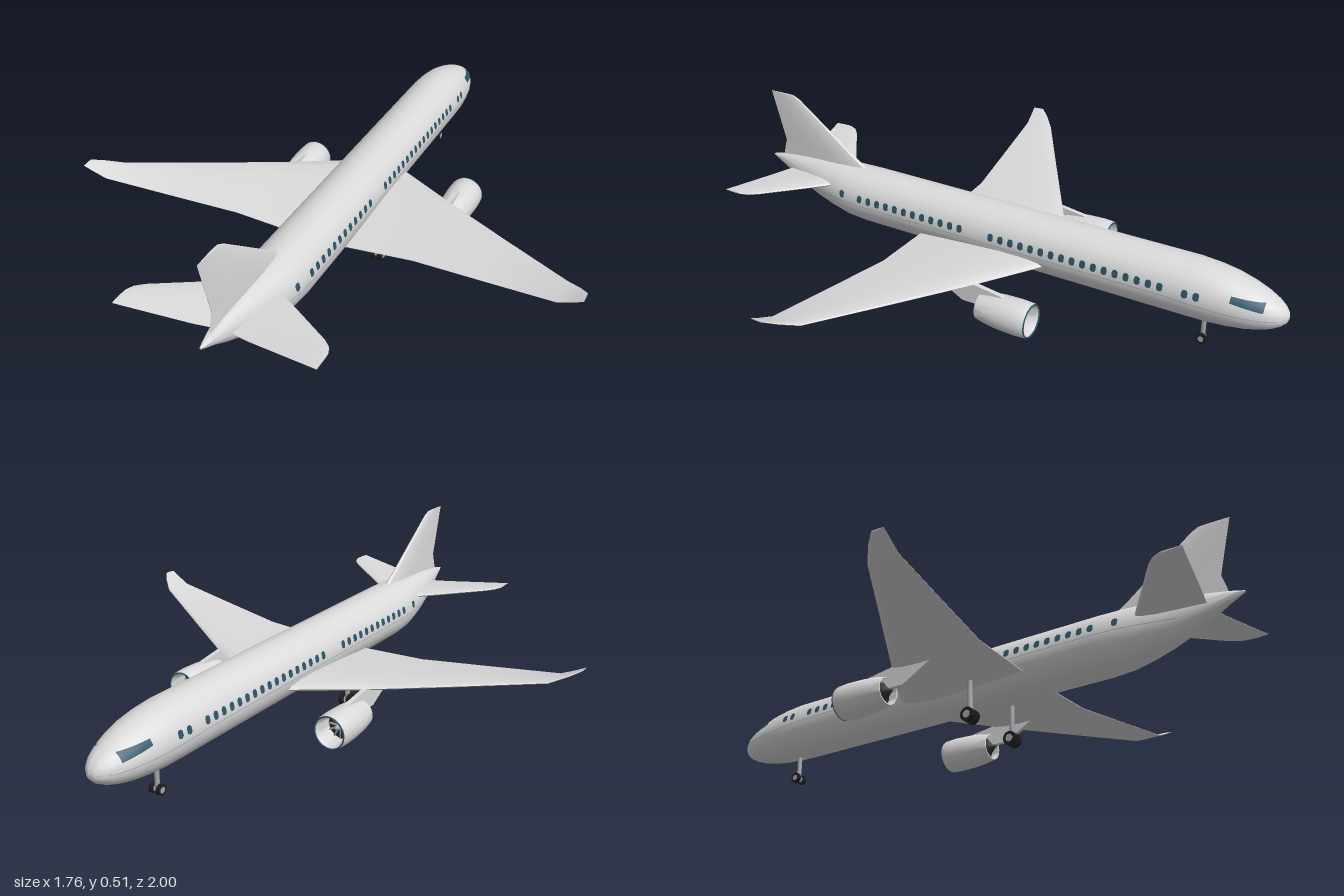
import * as THREE from 'three';
import { toCreasedNormals, mergeGeometries } from 'three/addons/utils/BufferGeometryUtils.js';

const mat = (name, color) => {
  const m = new THREE.MeshStandardMaterial({ color });
  m.name = name;
  return m;
};

// Fuselage stations: z, half width, top y, bottom y
const STATIONS = [
  [-1, 0.002, 0.181, 0.177], [-0.995, 0.018, 0.196, 0.161], [-0.98, 0.036, 0.213, 0.146],
  [-0.955, 0.054, 0.23, 0.132], [-0.92, 0.069, 0.248, 0.12], [-0.875, 0.082, 0.265, 0.11],
  [-0.82, 0.092, 0.281, 0.103], [-0.76, 0.098, 0.291, 0.099], [-0.69, 0.1, 0.297, 0.098],
  [0.54, 0.1, 0.297, 0.098], [0.62, 0.094, 0.296, 0.103], [0.69, 0.081, 0.293, 0.117],
  [0.76, 0.066, 0.288, 0.136], [0.83, 0.049, 0.282, 0.162], [0.89, 0.033, 0.274, 0.19],
  [0.95, 0.017, 0.264, 0.223], [0.985, 0.008, 0.256, 0.239], [1, 0.003, 0.252, 0.246],
];

function stationAt(z) {
  let i = 0;
  while (i < STATIONS.length - 2 && STATIONS[i + 1][0] < z) i++;
  const a = STATIONS[i], b = STATIONS[i + 1], t = (z - a[0]) / (b[0] - a[0]);
  return a.map((v, k) => v + (b[k] - v) * t);
}

// Skin through closed rings of points, capped at both ends and always facing outward
function loft(rings, crease) {
  const n = rings[0].length, pts = rings.flat(), idx = [];
  for (let r = 0; r < rings.length - 1; r++) {
    for (let i = 0; i < n; i++) {
      const a = r * n + i, b = r * n + (i + 1) % n;
      idx.push(a, b, a + n, b, b + n, a + n);
    }
  }
  const last = (rings.length - 1) * n;
  for (let i = 1; i < n - 1; i++) idx.push(0, i + 1, i, last, last + i, last + i + 1);
  let volume = 0;
  for (let i = 0; i < idx.length; i += 3) {
    volume += pts[idx[i]].dot(pts[idx[i + 1]].clone().cross(pts[idx[i + 2]]));
  }
  if (volume < 0) idx.reverse();
  const g = new THREE.BufferGeometry().setFromPoints(pts);
  g.setIndex(idx);
  return toCreasedNormals(g, crease);
}

// Closed airfoil ring between a leading and a trailing point
const FOIL = [[0, 0], [0.03, 0.5], [0.12, 0.85], [0.32, 1], [0.65, 0.65], [1, 0.06]];
function foil(lead, trail, thick, dir) {
  const at = ([t, h], s) => lead.clone().lerp(trail, t).addScaledVector(dir, s * h * thick / 2);
  return [...FOIL.map(p => at(p, 1)), ...FOIL.slice(1).reverse().map(p => at(p, -1))];
}

// Horizontal surface: rows of x, leading z, trailing z, leading y, trailing y, thickness
function surface(rows, side) {
  const up = new THREE.Vector3(0, 1, 0);
  return loft(rows.map(([x, zl, zt, yl, yt, th]) => foil(
    new THREE.Vector3(side * x, yl, zl), new THREE.Vector3(side * x, yt, zt), th, up)), 0.5);
}

// Thin patch lying on the fuselage side; low and high give y along u = 0..1
function patch(z0, z1, low, high, side, columns, rows = 2) {
  const pos = [], idx = [];
  for (let i = 0; i <= columns; i++) {
    const u = i / columns, z = z0 + (z1 - z0) * u;
    const [, w, top, bottom] = stationAt(z);
    for (let j = 0; j <= rows; j++) {
      const y = low(u) + (high(u) - low(u)) * j / rows;
      const s = THREE.MathUtils.clamp((y - (top + bottom) / 2) / ((top - bottom) / 2), -1, 1);
      pos.push(side * (w * Math.sqrt(1 - s * s) + 0.0022), y, z);
      if (i < columns && j < rows) {
        const a = i * (rows + 1) + j, b = a + rows + 1;
        const f = [a, a + 1, b, a + 1, b + 1, b];
        idx.push(...(side > 0 ? f : f.reverse()));
      }
    }
  }
  const g = new THREE.BufferGeometry();
  g.setAttribute('position', new THREE.Float32BufferAttribute(pos, 3));
  g.setIndex(idx);
  g.computeVertexNormals();
  return g;
}

const lathe = (profile, segments = 32) => new THREE.LatheGeometry(
  profile.map(([r, z]) => new THREE.Vector2(r, z)), segments).rotateX(Math.PI / 2);

export function createModel() {
  const model = new THREE.Group();
  model.name = 'airliner';
  const paint = mat('body grey', 0xdadada);
  const glass = mat('window blue', 0x2a5568);
  const line = mat('pale blue line', 0x9db3c0);
  const dark = mat('engine dark', 0x34383c);
  const metal = mat('strut metal', 0xa3a7aa);
  const rubber = mat('tyre black', 0x1e1e20);
  const add = (name, geometry, material, parent = model) => {
    const m = new THREE.Mesh(geometry, material);
    m.name = name;
    parent.add(m);
    return m;
  };

  // Fuselage
  add('fuselage', loft(STATIONS.map(([z, w, top, bottom]) => Array.from({ length: 40 }, (_, i) => {
    const a = i / 40 * Math.PI * 2;
    return new THREE.Vector3(w * Math.cos(a),
      (top + bottom) / 2 + (top - bottom) / 2 * Math.sin(a), z);
  })), 1), paint);

  // Vertical fin: y, leading z, trailing z, thickness
  const across = new THREE.Vector3(1, 0, 0);
  add('tailFin', loft([
    [0.25, 0.5, 0.955, 0.034], [0.297, 0.57, 0.942, 0.032], [0.325, 0.615, 0.933, 0.028],
    [0.5, 0.85, 0.977, 0.012], [0.513, 0.875, 0.98, 0.006],
  ].map(([y, zl, zt, th]) => foil(
    new THREE.Vector3(0, y, zl), new THREE.Vector3(0, y, zt), th, across)), 0.5), paint);

  // Window row positions along the fuselage
  const windowZ = [0.618, -0.693, -0.73];
  for (let i = 0; i < 12; i++) windowZ.push(0.537 - i * 0.038);
  for (let i = 0; i < 17; i++) windowZ.push(-0.003 - i * 0.038);

  for (const side of [1, -1]) {
    const tag = side > 0 ? 'left' : 'right';

    // Wing with upswept tip, and tailplane
    add(tag + 'Wing', surface([
      [0, -0.255, 0.29, 0.162, 0.145, 0.042], [0.1, -0.195, 0.285, 0.165, 0.15, 0.04],
      [0.32, -0.06, 0.28, 0.174, 0.163, 0.026], [0.56, 0.088, 0.312, 0.191, 0.184, 0.018],
      [0.8, 0.235, 0.344, 0.21, 0.206, 0.011], [0.85, 0.278, 0.351, 0.23, 0.228, 0.007],
      [0.88, 0.312, 0.355, 0.244, 0.243, 0.004],
    ], side), paint);
    add(tag + 'Tailplane', surface([
      [0, 0.62, 0.885, 0.228, 0.228, 0.026], [0.09, 0.688, 0.905, 0.234, 0.234, 0.022],
      [0.29, 0.83, 0.943, 0.255, 0.255, 0.01], [0.315, 0.855, 0.948, 0.258, 0.258, 0.007],
      [0.326, 0.88, 0.95, 0.259, 0.259, 0.004],
    ], side), paint);

    // Cabin windows, cockpit window and side line
    const half = u => (u < 0.01 || u > 0.99 ? 0.007 : 0.013);
    add(tag + 'CabinWindows', mergeGeometries(windowZ.map(z => patch(
      z - 0.01, z + 0.01, u => 0.221 - half(u), u => 0.221 + half(u), side, 4))), glass);
    add(tag + 'CockpitWindow', patch(-0.932, -0.832,
      u => 0.206 + 0.019 * u, u => 0.233 + 0.011 * u, side, 12, 4), glass);
    add(tag + 'SideLine', patch(-0.97, 0.8,
      u => 0.177 + 0.017 * Math.min(1, u * 5), u => 0.1795 + 0.017 * Math.min(1, u * 5),
      side, 80, 1), line);

    // Engine
    const engine = new THREE.Group();
    engine.name = tag + 'Engine';
    engine.position.set(side * 0.3, 0.096, 0);
    model.add(engine);
    add('nacelle', toCreasedNormals(lathe([
      [0.046, -0.19], [0.048, -0.24], [0.052, -0.266], [0.055, -0.271], [0.058, -0.264],
      [0.06, -0.225], [0.058, -0.165], [0.053, -0.12], [0.046, -0.085], [0.042, -0.085],
      [0.044, -0.125],
    ]), 0.8), paint, engine);
    add('intakeLip', new THREE.TorusGeometry(0.0545, 0.0025, 8, 32).translate(0, 0, -0.27), glass, engine);
    add('core', lathe([[0, -0.2], [0.047, -0.2], [0.047, -0.115], [0, -0.115]]), dark, engine);
    add('exhaustCone', lathe([[0.026, -0.115], [0.022, -0.095], [0, -0.065]]), dark, engine);
    add('spinner', lathe([[0, -0.235], [0.008, -0.228], [0.014, -0.2]], 16), metal, engine);
    for (let i = 0; i < 12; i++) {
      const blade = new THREE.BoxGeometry(0.006, 0.034, 0.002);
      blade.rotateY(0.5).translate(0, 0.029, -0.205).rotateZ(i * Math.PI / 6);
      add('fanBlade', blade, metal, engine);
    }

    // Pylon joining engine and wing
    const outline = new THREE.Shape([[-0.19, 0.146], [-0.16, 0.158], [-0.06, 0.172], [0.1, 0.166],
      [-0.02, 0.1], [-0.08, 0.1], [-0.1, 0.13]].map(([z, y]) => new THREE.Vector2(z, y)));
    add(tag + 'Pylon', new THREE.ExtrudeGeometry(outline, { depth: 0.016, bevelEnabled: false })
      .rotateY(-Math.PI / 2).translate(side * 0.3 + 0.008, 0, 0), paint);
  }

  // Landing gear: a strut, an axle and a pair of wheels
  const gear = (name, x, z, radius, gap, width, top, thick) => {
    const g = new THREE.Group();
    g.name = name;
    g.position.set(x, radius, z);
    model.add(g);
    const h = top - radius;
    add('strut', new THREE.CylinderGeometry(thick, thick, h, 14).translate(0, h / 2, 0), metal, g);
    const rod = (r, w) => new THREE.CylinderGeometry(r, r, w, 24).rotateZ(Math.PI / 2);
    add('axle', rod(radius * 0.25, gap * 2), metal, g);
    for (const s of [1, -1]) {
      add('tyre', rod(radius, width).translate(s * gap, 0, 0), rubber, g);
      add('hub', rod(radius * 0.55, width + 0.002).translate(s * gap, 0, 0), metal, g);
    }
  };
  gear('noseGear', 0, -0.735, 0.018, 0.014, 0.012, 0.12, 0.008);
  gear('leftMainGear', 0.125, 0.11, 0.024, 0.014, 0.014, 0.16, 0.009);
  gear('rightMainGear', -0.125, 0.11, 0.024, 0.014, 0.014, 0.16, 0.009);
  return model;
}
